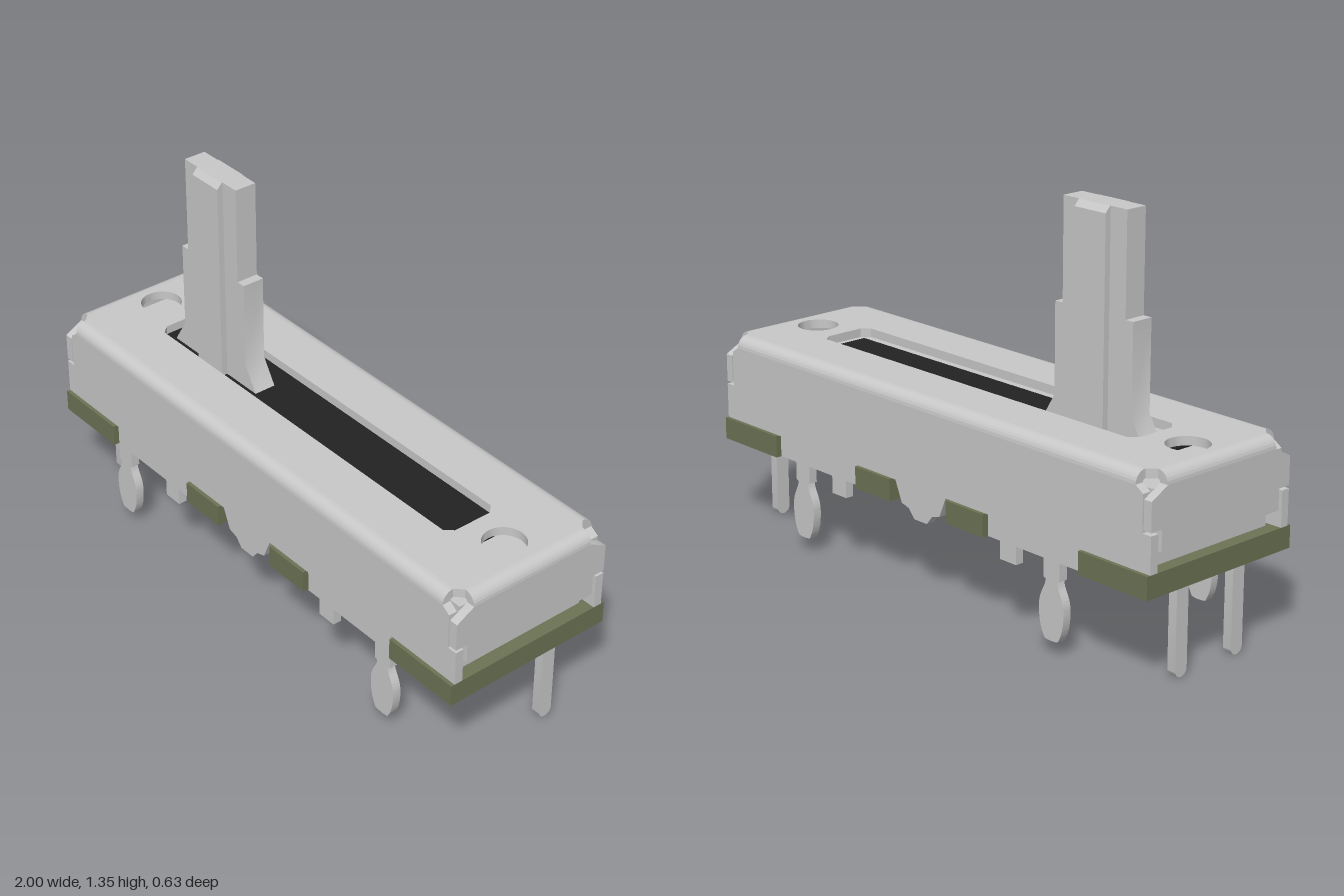
import * as THREE from 'three';
import { toCreasedNormals } from 'three/addons/utils/BufferGeometryUtils.js';

const metal = new THREE.MeshStandardMaterial({ name: 'light grey', color: 0xc8c8c8 });
const olive = new THREE.MeshStandardMaterial({ name: 'olive board', color: 0x6c7354 });
const black = new THREE.MeshStandardMaterial({ name: 'slot black', color: 0x222222 });

const polygon = (pts) => new THREE.Shape(pts.map(([x, y]) => new THREE.Vector2(x, y)));

// Repeats a right-hand half outline on the left, giving a symmetric closed outline
const mirrored = (half) => polygon([...half, ...half.map(([x, y]) => [-x, y]).reverse()]);

// Extrusion centred on its own depth, with smooth curves and sharp edges
function extrude(shape, depth) {
  const g = new THREE.ExtrudeGeometry(shape, { depth, bevelEnabled: false, curveSegments: 16 });
  g.translate(0, 0, -depth / 2);
  return toCreasedNormals(g, 0.6);
}

export function createModel() {
  const model = new THREE.Group();
  model.name = 'slidePotentiometer';

  function add(name, geometry, material, x = 0, y = 0, z = 0, turn = 0) {
    const mesh = new THREE.Mesh(geometry, material);
    mesh.name = name;
    mesh.position.set(x, y, z);
    mesh.rotation.y = turn;
    model.add(mesh);
    return mesh;
  }

  // Circuit board, notched along both long edges for the cover walls
  const edge = [
    [1, 0.313], [0.72, 0.313], [0.72, 0.268], [0.305, 0.268], [0.305, 0.313],
    [0.135, 0.313], [0.135, 0.268],
  ];
  const front = [...edge, ...edge.map(([x, z]) => [-x, z]).reverse()];
  const board = polygon([...front, ...front.map(([x, z]) => [x, -z]).reverse()]);
  add('circuitBoard', extrude(board, 0.075).rotateX(-Math.PI / 2), olive, 0, 0.3425, 0);

  // Inner housing and the dark track under the slot
  add('innerHousing', new THREE.BoxGeometry(1.91, 0.24, 0.5), metal, 0, 0.5, 0);
  add('slotTrack', new THREE.BoxGeometry(1.54, 0.008, 0.24), black, 0, 0.624, 0);

  // Cover top with slot and two mounting holes
  const top = polygon([
    [0.96, 0.235], [0.935, 0.26], [-0.935, 0.26], [-0.96, 0.235],
    [-0.96, -0.235], [-0.935, -0.26], [0.935, -0.26], [0.96, -0.235],
  ]);
  top.holes.push(polygon([
    [0.73, 0.07], [0.705, 0.097], [-0.705, 0.097], [-0.73, 0.07],
    [-0.73, -0.07], [-0.705, -0.097], [0.705, -0.097], [0.73, -0.07],
  ]));
  for (const x of [-0.867, 0.863]) {
    const hole = new THREE.Path();
    hole.absarc(x, 0.008, 0.07, 0, Math.PI * 2, true);
    top.holes.push(hole);
  }
  add('coverTop', extrude(top, 0.03).rotateX(-Math.PI / 2), metal, 0, 0.665, 0);

  // Rounded bends on the four top edges
  const bend = new THREE.Shape();
  bend.absarc(0, 0, 0.04, 0, Math.PI / 2, false);
  bend.absarc(0, 0, 0.01, Math.PI / 2, 0, true);
  const longBend = extrude(bend, 1.87);
  const endBend = extrude(bend, 0.47);
  add('frontBend', longBend, metal, 0, 0.64, 0.26, -Math.PI / 2);
  add('backBend', longBend, metal, 0, 0.64, -0.26, Math.PI / 2);
  add('leftBend', endBend, metal, 0.96, 0.64, 0);
  add('rightBend', endBend, metal, -0.96, 0.64, 0, Math.PI);

  // Long cover walls with their bottom tabs
  const wall = extrude(mirrored([
    [0.03, 0.27], [0.055, 0.3], [0.09, 0.31], [0.12, 0.38], [0.315, 0.38], [0.315, 0.31],
    [0.37, 0.31], [0.37, 0.25], [0.44, 0.25], [0.44, 0.31], [0.71, 0.31], [0.71, 0.38],
    [1, 0.38], [1, 0.5], [0.965, 0.5], [0.965, 0.62], [0.935, 0.64],
  ]), 0.03);
  add('frontWall', wall, metal, 0, 0, 0.285);
  add('backWall', wall, metal, 0, 0, -0.285);

  // End flaps with side wings and cut upper corners
  const flap = extrude(mirrored([
    [0.255, 0.44], [0.255, 0.51], [0.3, 0.51], [0.3, 0.605], [0.235, 0.64],
  ]), 0.03);
  for (const s of [1, -1]) {
    add(s > 0 ? 'leftFlap' : 'rightFlap', flap, metal, s * 0.985, 0, 0, Math.PI / 2);
  }

  // Snap-in legs, set closer together on the back
  const legShape = new THREE.Shape();
  legShape.moveTo(-0.035, 0.32);
  legShape.lineTo(-0.035, 0.25);
  legShape.lineTo(-0.024, 0.245);
  legShape.bezierCurveTo(-0.03, 0.21, -0.053, 0.2, -0.053, 0.15);
  legShape.bezierCurveTo(-0.053, 0.1, -0.04, 0.07, -0.028, 0.053);
  legShape.quadraticCurveTo(0, 0.047, 0.028, 0.053);
  legShape.bezierCurveTo(0.04, 0.07, 0.053, 0.1, 0.053, 0.15);
  legShape.bezierCurveTo(0.053, 0.2, 0.03, 0.21, 0.024, 0.245);
  legShape.lineTo(0.035, 0.25);
  legShape.lineTo(0.035, 0.32);
  const leg = extrude(legShape, 0.03);
  for (const s of [1, -1]) {
    add('frontLeg', leg, metal, s * 0.675, 0, 0.285);
    add('backLeg', leg, metal, s * 0.595, 0, -0.285);
  }

  // Three flat contact pins with rounded tips
  const pinShape = new THREE.Shape();
  pinShape.moveTo(0.025, 0.32);
  pinShape.lineTo(-0.025, 0.32);
  pinShape.lineTo(-0.025, 0.025);
  pinShape.absarc(0, 0.025, 0.025, Math.PI, Math.PI * 2, false);
  const pin = extrude(pinShape, 0.032);
  for (const [x, z] of [[-0.95, 0.123], [-0.95, -0.123], [0.95, -0.123]]) {
    add('contactPin', pin, metal, x, 0, z, Math.PI / 2);
  }

  // Slider lever: thin stepped blade with a thicker chamfered spine
  const blade = mirrored([
    [0.22, 0.625], [0.165, 0.715], [0.165, 1.015], [0.133, 1.015], [0.133, 1.35],
  ]);
  add('leverBlade', extrude(blade, 0.078), metal, -0.5, 0, 0);
  const spine = mirrored([[0.06, 0.625], [0.06, 1.33], [0.042, 1.35]]);
  add('leverSpine', extrude(spine, 0.13), metal, -0.5, 0, 0, Math.PI / 2);

  return model;
}
